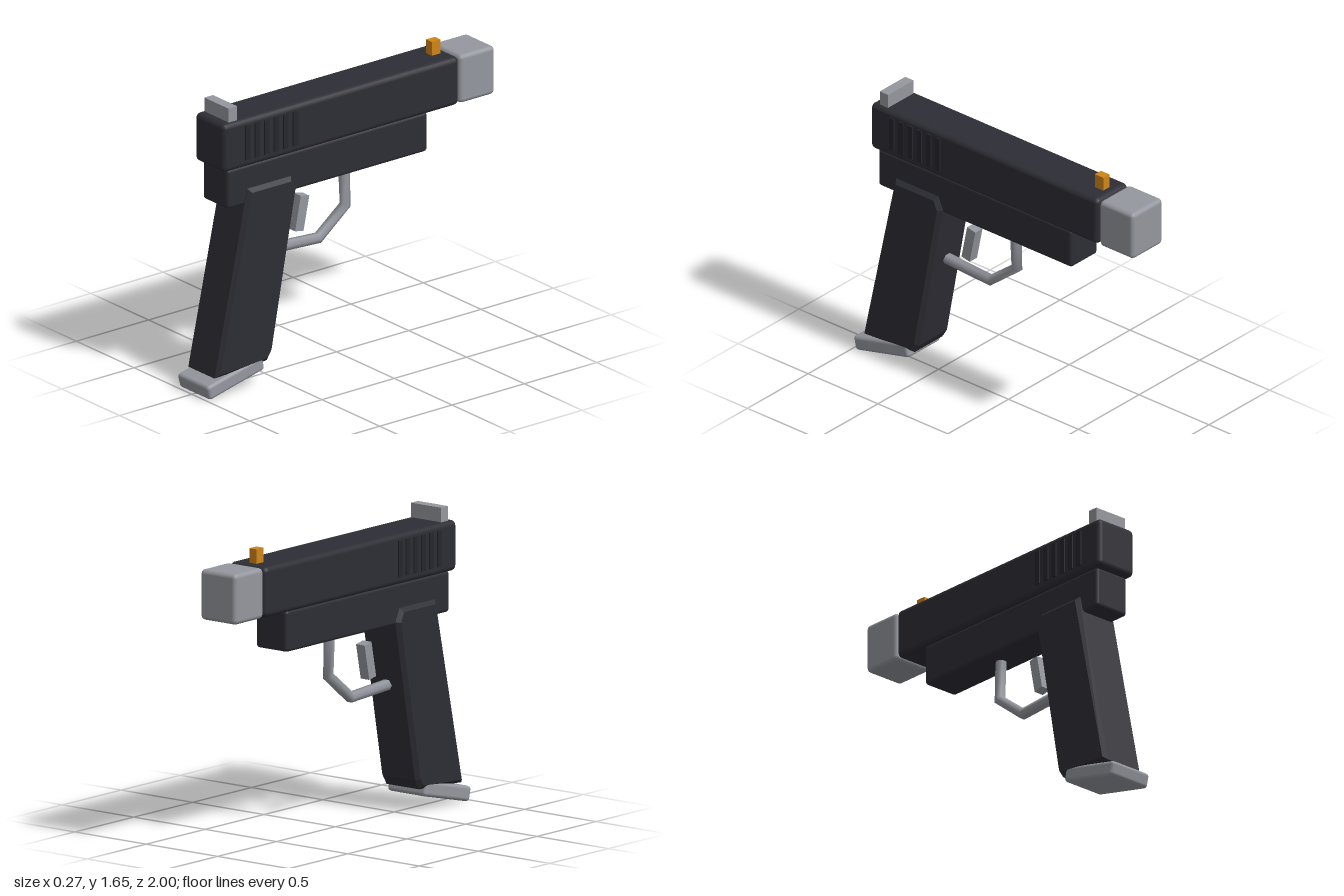
import * as THREE from 'three';
import { RoundedBoxGeometry } from 'three/addons/geometries/RoundedBoxGeometry.js';

const material = (name, color) => {
  const m = new THREE.MeshStandardMaterial({ color });
  m.name = name;
  return m;
};

export function createModel() {
  const group = new THREE.Group();
  const dark = material('charcoal', 0x2d2d35);
  const groove = material('dark charcoal', 0x26262d);
  const grey = material('grey', 0x94979e);
  const orange = material('orange', 0xd08519);

  const add = (name, geometry, mat, x = 0, y = 0, z = 0) => {
    const mesh = new THREE.Mesh(geometry, mat);
    mesh.name = name;
    mesh.position.set(x, y, z);
    group.add(mesh);
    return mesh;
  };
  const rounded = (w, h, d, r) => new RoundedBoxGeometry(w, h, d, 2, r);
  const box = (w, h, d) => new THREE.BoxGeometry(w, h, d);

  // Upper body
  add('slide', rounded(0.26, 0.28, 1.63, 0.03), dark, 0, 1.44, 0.065);
  add('frame', rounded(0.22, 0.23, 1.385, 0.02), dark, 0, 1.19, 0.1475);
  add('muzzleBlock', rounded(0.25, 0.28, 0.245, 0.025), grey, 0, 1.44, -0.8775);

  // Sights
  add('frontSight', box(0.05, 0.1, 0.06), orange, 0, 1.61, -0.67);
  add('rearSight', box(0.21, 0.1, 0.06), grey, 0, 1.61, 0.8);

  // Raised ribs on both sides of the slide
  for (const side of [-1, 1]) {
    for (let i = 0; i < 6; i++) {
      add('slideRib', box(0.009, 0.2, 0.033), groove, side * 0.1325, 1.445, 0.72 - i * 0.066);
    }
  }

  // Slanted grip: side profile extruded across the width, with chamfered edges
  const bevel = 0.022;
  const profile = new THREE.Shape([
    [-0.69, 1.145], [-0.42, 1.145], [-0.395, 1.09], [-0.56, 0.2], [-0.585, 0.16], [-0.91, 0.14],
  ].map(([x, y]) => new THREE.Vector2(x, y)));
  const width = 0.27 - 2 * bevel;
  const gripGeometry = new THREE.ExtrudeGeometry(profile, {
    depth: width, bevelEnabled: true, bevelThickness: bevel, bevelSize: bevel, bevelSegments: 1,
  });
  gripGeometry.translate(0, 0, -width / 2);
  gripGeometry.rotateY(Math.PI / 2);
  add('grip', gripGeometry, dark);

  const base = add('gripBase', rounded(0.27, 0.085, 0.395, 0.02), grey, 0, 0.093, 0.798);
  base.rotation.x = 0.235;

  // Trigger and its bent guard
  const trigger = add('trigger', box(0.06, 0.2, 0.06), grey, 0, 0.888, 0.261);
  trigger.rotation.x = -0.2;

  const path = new THREE.CatmullRomCurve3([
    [0.46, 0.725], [0.127, 0.705], [-0.06, 0.852], [-0.05, 1.11],
  ].map(([z, y]) => new THREE.Vector3(0, y, z)));
  // Step through the control points so the guard bends sharply at each one
  path.getPointAt = (t) => path.getPoint(t);
  path.getTangentAt = (t) => path.getTangent(t);
  const guardGeometry = new THREE.TubeGeometry(path, 3, 0.032, 6, false);
  add('triggerGuard', guardGeometry, grey);

  return group;
}
